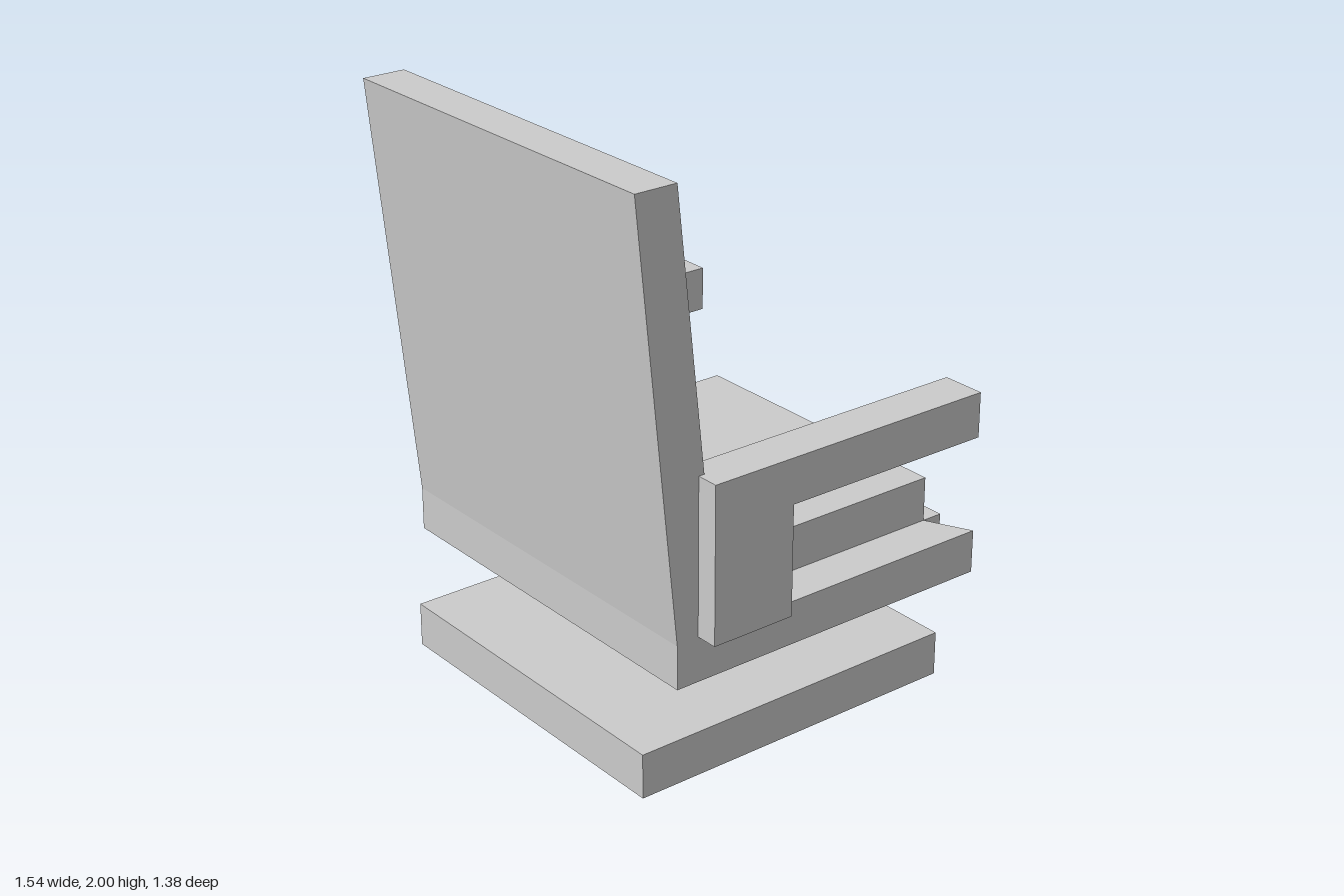
import * as THREE from 'three';
import { ConvexGeometry } from 'three/addons/geometries/ConvexGeometry.js';

const material = new THREE.MeshStandardMaterial({ color: 0xcccccc, flatShading: true });

function add(group, name, geometry) {
  const mesh = new THREE.Mesh(geometry, material);
  mesh.name = name;
  group.add(mesh);
  return mesh;
}

// Box given by its min and max on each axis
function box(group, name, [x0, x1], [y0, y1], [z0, z1]) {
  const mesh = add(group, name, new THREE.BoxGeometry(x1 - x0, y1 - y0, z1 - z0));
  mesh.position.set((x0 + x1) / 2, (y0 + y1) / 2, (z0 + z1) / 2);
}

// Side profile of [z, y] points extruded symmetrically across x between x0 and x1
function sideProfile(group, name, points, x0, x1) {
  const shape = new THREE.Shape(points.map(([z, y]) => new THREE.Vector2(-z, y)));
  const geometry = new THREE.ExtrudeGeometry(shape, { depth: x1 - x0, bevelEnabled: false });
  geometry.rotateY(Math.PI / 2).translate(x0, 0, 0);
  add(group, name, geometry);
}

export function createModel() {
  const chair = new THREE.Group();
  chair.name = 'armchair';

  // Pedestal
  box(chair, 'basePlate', [-0.615, 0.615], [0, 0.155], [-0.615, 0.615]);
  box(chair, 'column', [-0.23, 0.23], [0.155, 0.39], [-0.23, 0.23]);

  // Seat platform, with a chip cut out of one corner
  box(chair, 'seatPlatform', [-0.69, 0.535], [0.39, 0.54], [-0.69, 0.54]);
  const corner = [
    [0.535, 0.39, -0.69], [0.69, 0.39, -0.69], [0.535, 0.39, 0.54], [0.69, 0.39, 0.54],
    [0.535, 0.54, 0.54], [0.69, 0.54, 0.54], [0.69, 0.54, -0.69],
    [0.535, 0.47, -0.69], [0.535, 0.54, -0.615],
  ];
  add(chair, 'chippedSeatCorner', new ConvexGeometry(corner.map((p) => new THREE.Vector3(...p))));

  // Seat cushion and the raised step at its rear
  box(chair, 'seatCushion', [-0.535, 0.535], [0.54, 0.695], [-0.615, 0.38]);
  box(chair, 'rearCushionStep', [-0.535, 0.535], [0.695, 0.8], [0.23, 0.4]);

  // Leaning backrest and its cushion
  sideProfile(chair, 'backrest', [[0.54, 0.54], [0.38, 0.54], [0.54, 2], [0.69, 2]], -0.69, 0.69);
  sideProfile(chair, 'backCushion',
    [[0.4, 0.695], [0.3, 0.695], [0.465, 1.845], [0.526, 1.845]], -0.535, 0.535);

  // Armrests: rear post and forward bar in one profile
  const arm = [[0.46, 0.545], [0.46, 1.08], [-0.612, 1.08], [-0.612, 0.925], [0.157, 0.925], [0.157, 0.545]];
  sideProfile(chair, 'leftArmrest', arm, 0.615, 0.768);
  sideProfile(chair, 'rightArmrest', arm, -0.768, -0.615);

  return chair;
}
